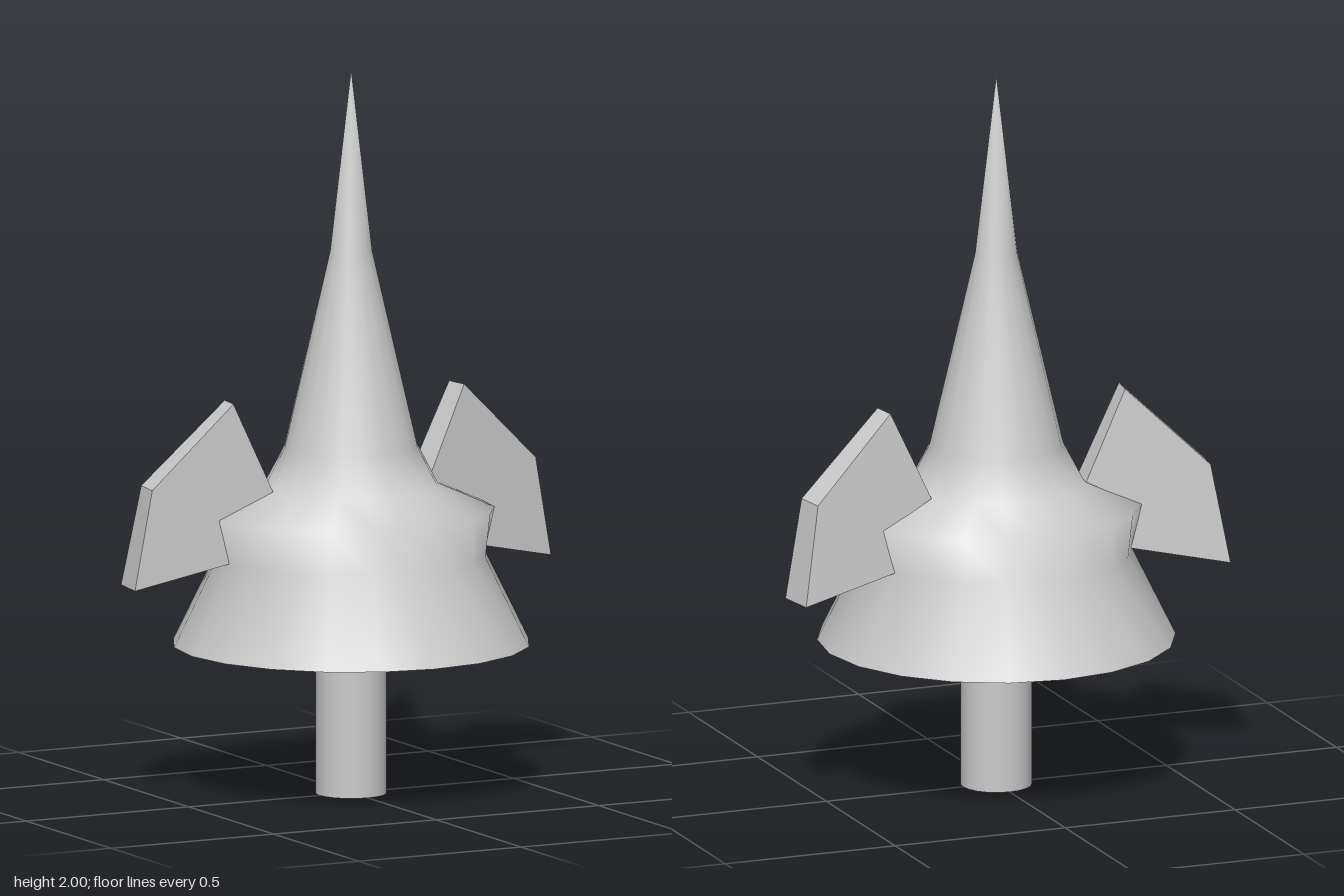
import * as THREE from 'three';
import { mergeVertices } from 'three/addons/utils/BufferGeometryUtils.js';

const SIDES = 20;
const BASE_Y = 0.415;

// Radius of the shoulder ring every 18 degrees, from the sides (0) to the front or back (5)
const SHOULDER = [0.4, 0.397, 0.383, 0.37, 0.327, 0.31];

// Spired body: a lathe whose shoulder ring is pushed out towards the sides
function bodyGeometry() {
  const profile = [[0.49, BASE_Y], [0.37, 0.66], [0.31, 0.78], [0.24, 0.85], [0.183, 0.96], [0.058, 1.5], [0, 2]];
  const lathe = new THREE.LatheGeometry(profile.map(([r, y]) => new THREE.Vector2(r, y)), SIDES);
  const p = lathe.attributes.position;
  for (let i = 0; i < p.count; i++) {
    if (Math.abs(p.getY(i) - 0.78) > 0.001) continue;
    const x = p.getX(i), z = p.getZ(i);
    const step = Math.round(Math.atan2(Math.abs(z), Math.abs(x)) / (Math.PI / 10));
    const s = SHOULDER[step] / Math.hypot(x, z);
    p.setX(i, x * s);
    p.setZ(i, z * s);
  }
  // Weld the seam so the normals are smooth all round
  lathe.deleteAttribute('uv');
  lathe.deleteAttribute('normal');
  const body = mergeVertices(lathe);
  body.computeVertexNormals();
  return body;
}

// Side fin: swept back, and thicker towards the bottom
function finGeometry(side) {
  const outline = [[0.24, 0.85], [0.355, 1.1], [0.59, 0.875], [0.64, 0.6], [0.36, 0.66], [0.385, 0.78]];
  const shape = new THREE.Shape(outline.map(([x, y]) => new THREE.Vector2(side * x, y)));
  const fin = new THREE.ExtrudeGeometry(shape, { depth: 1, bevelEnabled: false });
  const p = fin.attributes.position;
  for (let i = 0; i < p.count; i++) {
    const x = Math.abs(p.getX(i)), y = p.getY(i);
    const depth = (1 - p.getZ(i)) * (0.07 + 0.085 * (1.1 - y));
    p.setX(i, side * (x - 0.14 * depth));
    p.setZ(i, -0.12 * (x - 0.24) - depth);
  }
  fin.computeVertexNormals();
  return fin;
}

export function createModel() {
  const group = new THREE.Group();
  const material = new THREE.MeshStandardMaterial({ color: 0xcccccc });
  const add = (name, geometry) => {
    const mesh = new THREE.Mesh(geometry, material);
    mesh.name = name;
    group.add(mesh);
    return mesh;
  };

  add('body', bodyGeometry());

  // Flat underside of the body
  const underside = add('underside', new THREE.CircleGeometry(0.49, SIDES).rotateX(Math.PI / 2));
  underside.position.y = BASE_Y;

  // Post
  const post = add('post', new THREE.CylinderGeometry(0.098, 0.098, BASE_Y, SIDES));
  post.position.y = BASE_Y / 2;

  add('leftFin', finGeometry(1));
  add('rightFin', finGeometry(-1));
  return group;
}
